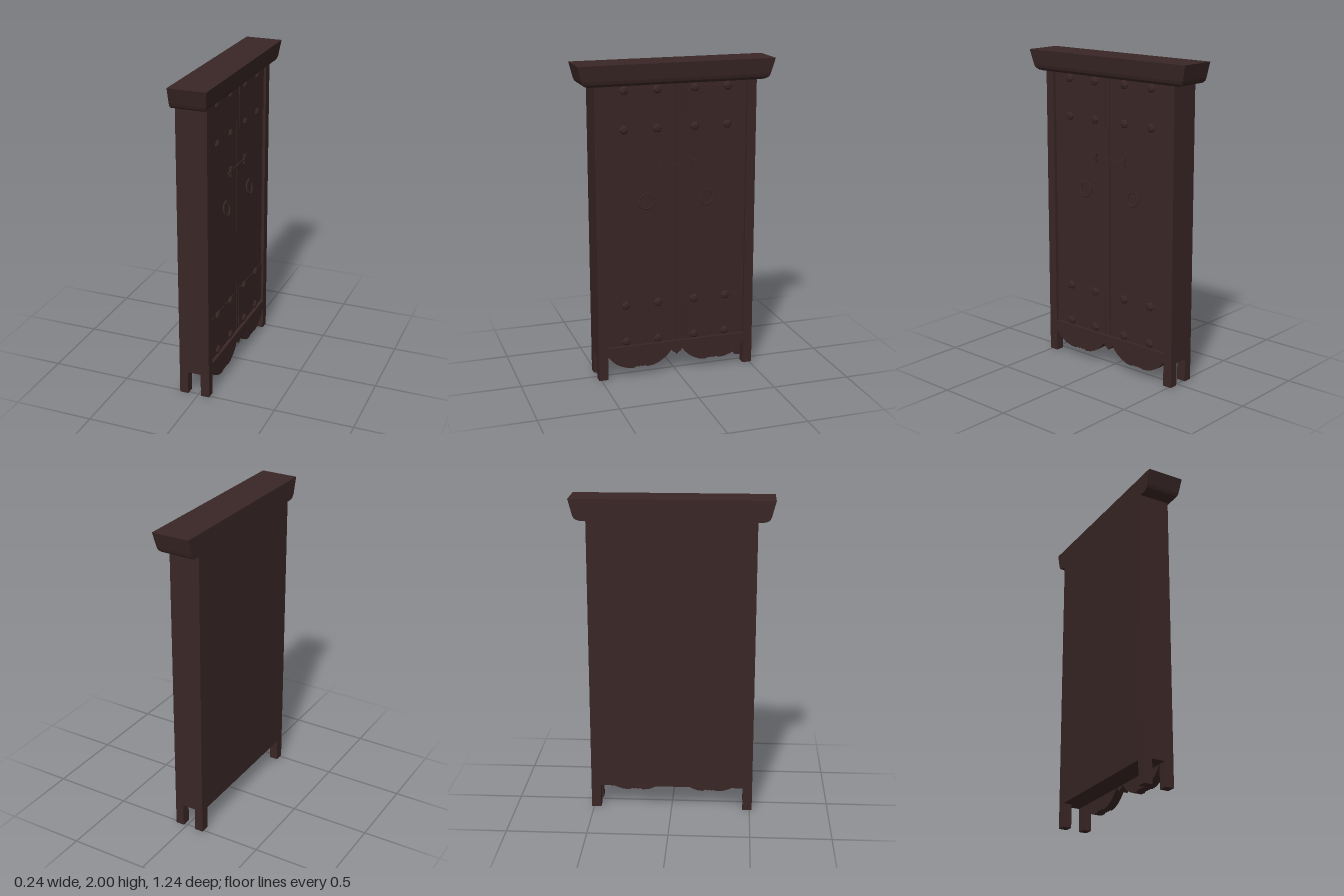
import * as THREE from 'three';

export function createModel() {
  const model = new THREE.Group();
  const wood = new THREE.MeshStandardMaterial({ color: 0x3a2626 });
  wood.name = 'darkWood';

  const add = (name, geometry, parent = model) => {
    const mesh = new THREE.Mesh(geometry, wood);
    mesh.name = name;
    parent.add(mesh);
    return mesh;
  };
  // Box given by its limits on each axis
  const box = (name, x0, x1, y0, y1, z0, z1) =>
    add(name, new THREE.BoxGeometry(x1 - x0, y1 - y0, z1 - z0)
      .translate((x0 + x1) / 2, (y0 + y1) / 2, (z0 + z1) / 2));

  const BACK = -0.12, FRONT = 0.075, DOOR = 0.055, INNER = 0.455, OUTER = 0.515;

  // Cabinet body, the doors face +x
  box('carcass', BACK, 0.02, 0.15, 1.87, -OUTER, OUTER);

  for (const s of [-1, 1]) {
    const span = (a, b) => [Math.min(s * a, s * b), Math.max(s * a, s * b)];
    box('frontPost', 0.02, FRONT, 0, 1.87, ...span(INNER, OUTER));
    box('backLeg', BACK, -0.065, 0, 0.15, ...span(INNER, OUTER));
    box('door', 0.02, DOOR, 0.21, 1.87, ...span(0.003, INNER));
    // Raised bands along the top and bottom of each door
    box('upperBand', DOOR, DOOR + 0.004, 1.585, 1.85, ...span(0.035, INNER));
    box('lowerBand', DOOR, DOOR + 0.004, 0.225, 0.495, ...span(0.035, INNER));

    // Six-sided domed studs
    for (const y of [0.24, 0.482, 1.6, 1.837]) {
      for (const z of [0.12, 0.33]) {
        const stud = add('stud', new THREE.LatheGeometry(
          [[0.03, 0], [0.027, 0.008], [0.018, 0.014], [0, 0.017]].map(p => new THREE.Vector2(...p)), 6).toNonIndexed());
        stud.geometry.computeVertexNormals();
        stud.rotation.z = -Math.PI / 2;
        stud.position.set(DOOR + 0.002, y, s * z);
      }
    }

    // Ring pull, hanging slightly outward at the bottom
    const pull = new THREE.Group();
    pull.name = 'ringPull';
    pull.position.set(DOOR + 0.01, 1.145, s * 0.195);
    const ring = add('ring', new THREE.TorusGeometry(0.044, 0.006, 6, 24), pull);
    ring.rotation.set(0, Math.PI / 2, 0);
    pull.rotation.z = 0.2;
    model.add(pull);
    box('ringStaple', DOOR, DOOR + 0.012, 1.18, 1.197, s * 0.195 - 0.008, s * 0.195 + 0.008);

    // Latch brackets
    box('latchBracket', DOOR, DOOR + 0.016, 1.33, 1.388, s * 0.117 - 0.014, s * 0.117 + 0.014);
  }
  box('latchBar', DOOR + 0.003, DOOR + 0.011, 1.35, 1.365, -0.155, 0.16);

  // Scalloped apron under the doors
  const half = [[INNER, 0.155], [0.43, 0.122], [0.4, 0.096], [0.365, 0.077], [0.325, 0.064], [0.285, 0.061],
    [0.265, 0.07], [0.253, 0.065], [0.24, 0.07], [0.227, 0.065], [0.215, 0.07], [0.195, 0.061], [0.155, 0.066],
    [0.115, 0.083], [0.08, 0.106], [0.055, 0.13], [0.035, 0.157], [0.025, 0.138], [0.01, 0.13]];
  const edge = [...half, [0, 0.118], ...half.map(([z, y]) => [-z, y]).reverse()];
  const shape = new THREE.Shape([[-INNER, 0.21], [INNER, 0.21], ...edge].map(p => new THREE.Vector2(...p)));
  add('apron', new THREE.ExtrudeGeometry(shape, { depth: FRONT - 0.02, bevelEnabled: false })
    .rotateY(Math.PI / 2).translate(0.02, 0, 0));

  // Flared crown: rectangles stacked from bottom to top, flat at the back
  const levels = [[1.868, 0.545, 0.076], [1.874, 0.572, 0.088], [1.886, 0.587, 0.099], [1.905, 0.595, 0.105], [2, 0.62, 0.117]];
  const rings = levels.map(([y, z, x]) => [[BACK, y, z], [x, y, z], [x, y, -z], [BACK, y, -z]]);
  const pos = [];
  const quad = (a, b, c, d) => pos.push(...a, ...b, ...c, ...a, ...c, ...d);
  for (let i = 0; i < rings.length - 1; i++) {
    for (let k = 0; k < 4; k++) {
      const n = (k + 1) % 4;
      quad(rings[i][k], rings[i][n], rings[i + 1][n], rings[i + 1][k]);
    }
  }
  quad(...rings[rings.length - 1]);
  quad(...[...rings[0]].reverse());
  const crown = new THREE.BufferGeometry();
  crown.setAttribute('position', new THREE.Float32BufferAttribute(pos, 3));
  crown.computeVertexNormals();
  add('crown', crown);

  return model;
}
